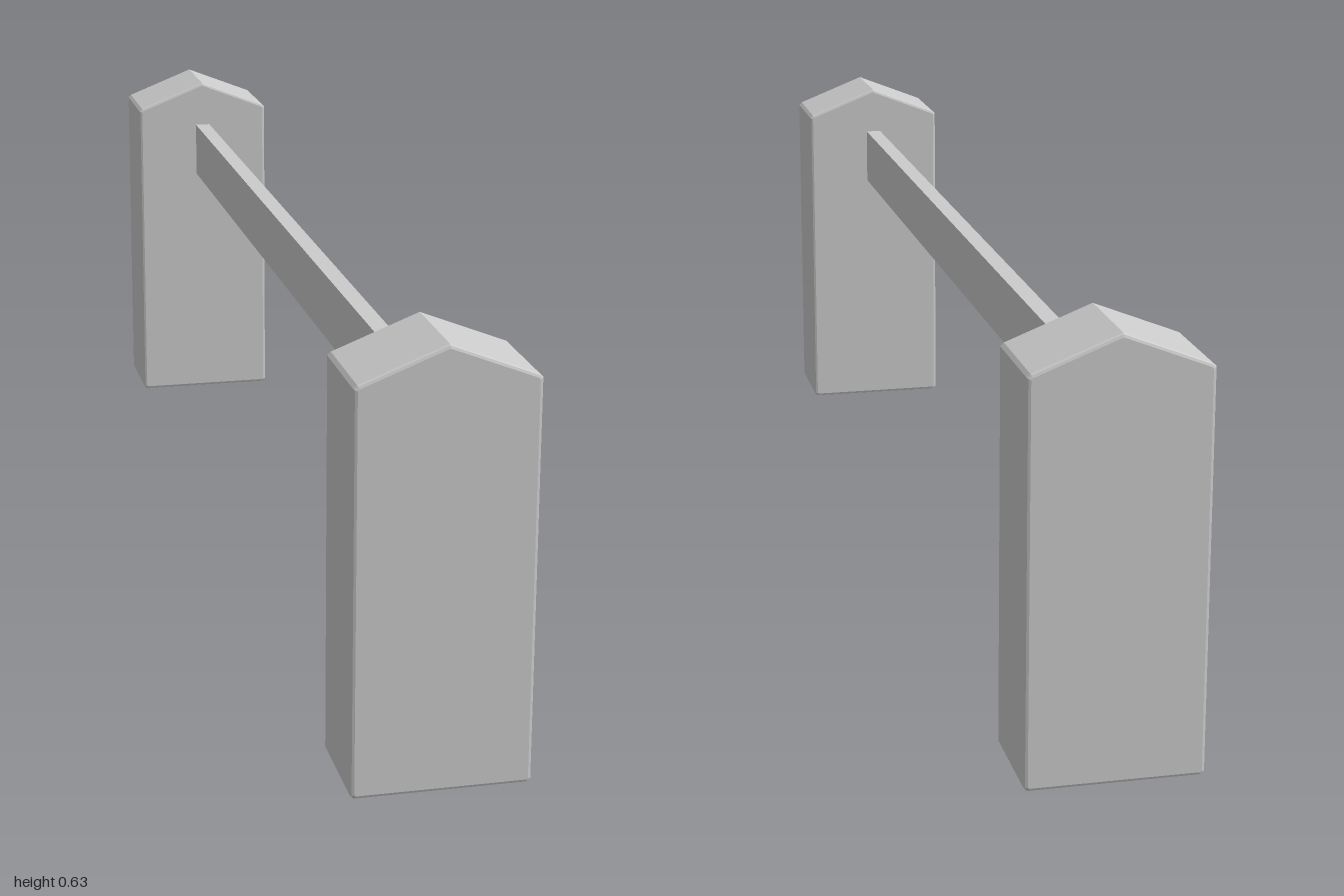
import * as THREE from 'three';

const HALF_W = 0.127, SHOULDER = 0.586, PEAK = 0.634, DEPTH = 0.16, BEVEL = 0.005;

// Gabled post outline with slightly clipped corners
function postShape() {
  const c = 0.005;
  const right = [
    [HALF_W - c, 0], [HALF_W, c],
    [HALF_W, SHOULDER - c], [HALF_W - c, SHOULDER],
  ];
  const left = right.map(([x, y]) => [-x, y]).reverse();
  return new THREE.Shape(
    [...right, [0, PEAK], ...left].map(([x, y]) => new THREE.Vector2(x, y))
  );
}

export function createModel() {
  const group = new THREE.Group();
  const material = new THREE.MeshStandardMaterial({ color: 0xcccccc });

  // Two bevelled end posts
  const postGeometry = new THREE.ExtrudeGeometry(postShape(), {
    depth: DEPTH - 2 * BEVEL,
    bevelEnabled: true,
    bevelThickness: BEVEL,
    bevelSize: BEVEL,
    bevelOffset: -BEVEL,
    bevelSegments: 2,
  });
  postGeometry.translate(0, 0, -DEPTH / 2 + BEVEL);
  for (const [name, side] of [['frontPost', 1], ['backPost', -1]]) {
    const post = new THREE.Mesh(postGeometry, material);
    post.name = name;
    post.position.z = side * (1 - DEPTH / 2);
    group.add(post);
  }

  // Thin rail between the posts
  const rail = new THREE.Mesh(
    new THREE.BoxGeometry(0.027, 0.1, 2 * (1 - DEPTH) + 0.004),
    material
  );
  rail.name = 'rail';
  rail.position.y = 0.5;
  group.add(rail);

  return group;
}
